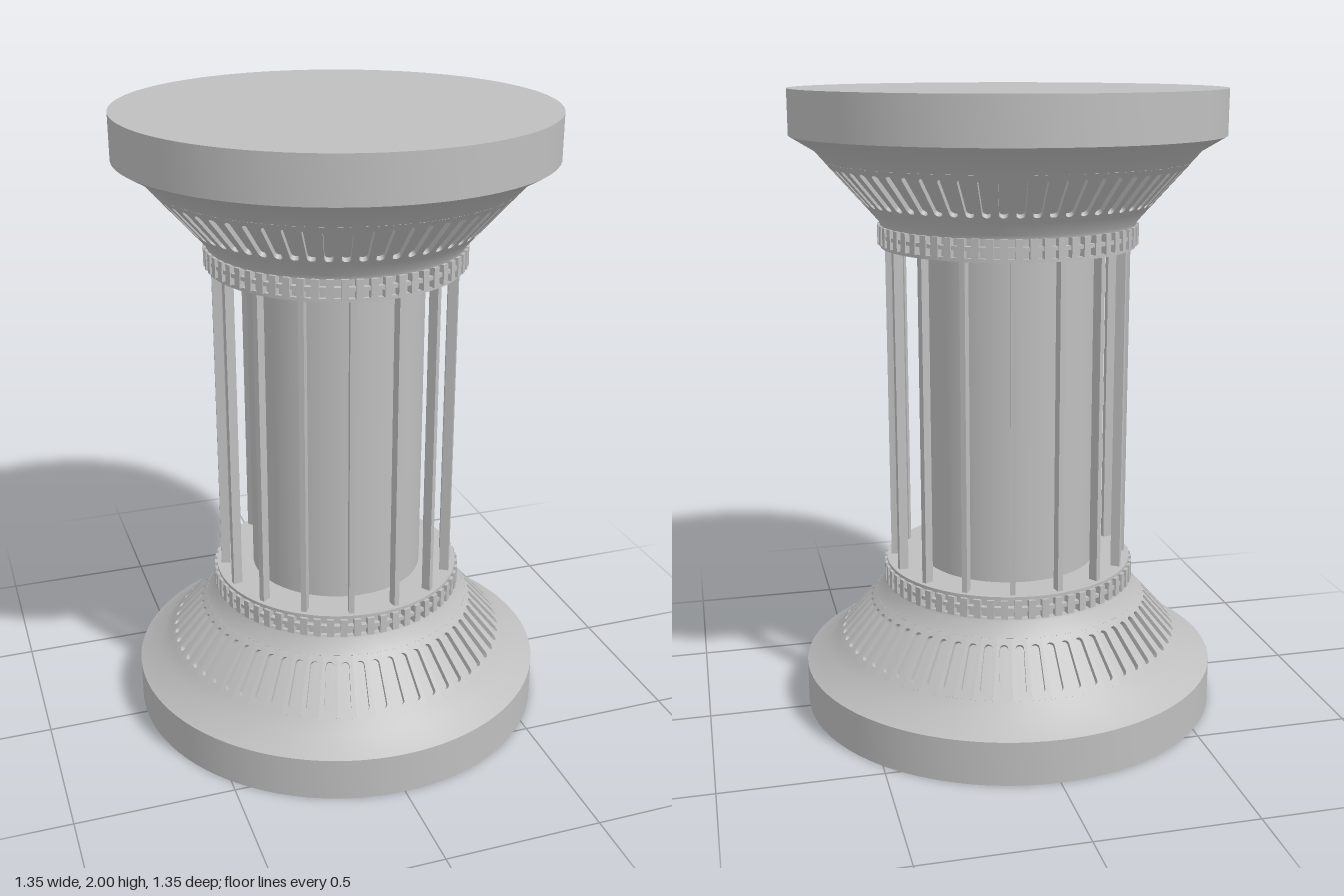
import * as THREE from 'three';
import { mergeGeometries, toCreasedNormals } from 'three/addons/utils/BufferGeometryUtils.js';

const SLOTS = 60;
const RODS = 16;

// Smooth turned body with sharp rims
function turned(points) {
  const profile = points.map(([r, y]) => new THREE.Vector2(r, y));
  return toCreasedNormals(new THREE.LatheGeometry(profile, 96), 0.5);
}

// Copies of a geometry spaced evenly around the y axis
function ringOf(geometry, count) {
  const copies = [];
  for (let i = 0; i < count; i++) {
    copies.push(geometry.clone().rotateY(((i + 0.5) / count) * Math.PI * 2));
  }
  return mergeGeometries(copies);
}

// One facet of the sloping band, pierced by a rounded slot
function slottedPanel() {
  const r0 = 0.569, y0 = 0.22, r1 = 0.44, y1 = 0.365, depth = 0.015;
  const length = Math.hypot(r0 - r1, y1 - y0);
  const t = Math.tan(Math.PI / SLOTS);
  const shape = new THREE.Shape();
  shape.moveTo(-r0 * t, 0);
  shape.lineTo(r0 * t, 0);
  shape.lineTo(r1 * t, length);
  shape.lineTo(-r1 * t, length);
  shape.closePath();

  const w = 0.013;
  const slot = new THREE.Path();
  slot.absarc(0, 0.02 + w, w, Math.PI, Math.PI * 2, false);
  slot.absarc(0, length - 0.02 - w, w, 0, Math.PI, false);
  slot.closePath();
  shape.holes.push(slot);

  const panel = new THREE.ExtrudeGeometry(shape, { depth, bevelEnabled: false, curveSegments: 6 });
  panel.translate(0, 0, -depth);
  panel.rotateX(-Math.atan2(r0 - r1, y1 - y0));
  panel.translate(0, y0, r0);
  return panel;
}

export function createModel() {
  const model = new THREE.Group();
  model.name = 'column';
  const stone = new THREE.MeshStandardMaterial({ color: 0xbfbfbf });
  stone.name = 'stone grey';

  const add = (parent, name, geometry) => {
    const mesh = new THREE.Mesh(geometry, stone);
    mesh.name = name;
    parent.add(mesh);
    return mesh;
  };

  // Geometry shared by the base and the capital
  const body = turned([
    [0, 0], [0.675, 0], [0.675, 0.14], [0.6, 0.185], [0.569, 0.22],
    [0.558, 0.21], [0.429, 0.355], [0.44, 0.365], [0.405, 0.405],
    [0.402, 0.416], [0.39, 0.416], [0.39, 0.439], [0.407, 0.439],
    [0.407, 0.451], [0.39, 0.451], [0.39, 0.474], [0.402, 0.474],
    [0.402, 0.485], [0, 0.485],
  ]);
  const panels = ringOf(slottedPanel(), SLOTS);
  const teeth = ringOf(new THREE.BoxGeometry(0.022, 0.06, 0.03).translate(0, 0.445, 0.396), SLOTS);

  // Base, and the same piece turned over as the capital
  for (const name of ['base', 'capital']) {
    const end = new THREE.Group();
    end.name = name;
    add(end, name + 'Body', body);
    add(end, name + 'SlottedBand', panels);
    add(end, name + 'CollarTeeth', teeth);
    if (name === 'capital') {
      end.rotation.x = Math.PI;
      end.position.y = 2;
    }
    model.add(end);
  }

  // Inner shaft
  add(model, 'shaft', new THREE.CylinderGeometry(0.28, 0.28, 1.04, 64, 1, true)).position.y = 1;

  // Slim flat rods standing around the shaft
  const rod = new THREE.BoxGeometry(0.017, 1.04, 0.03).translate(0, 1, 0.373);
  add(model, 'rods', ringOf(rod, RODS));

  return model;
}
